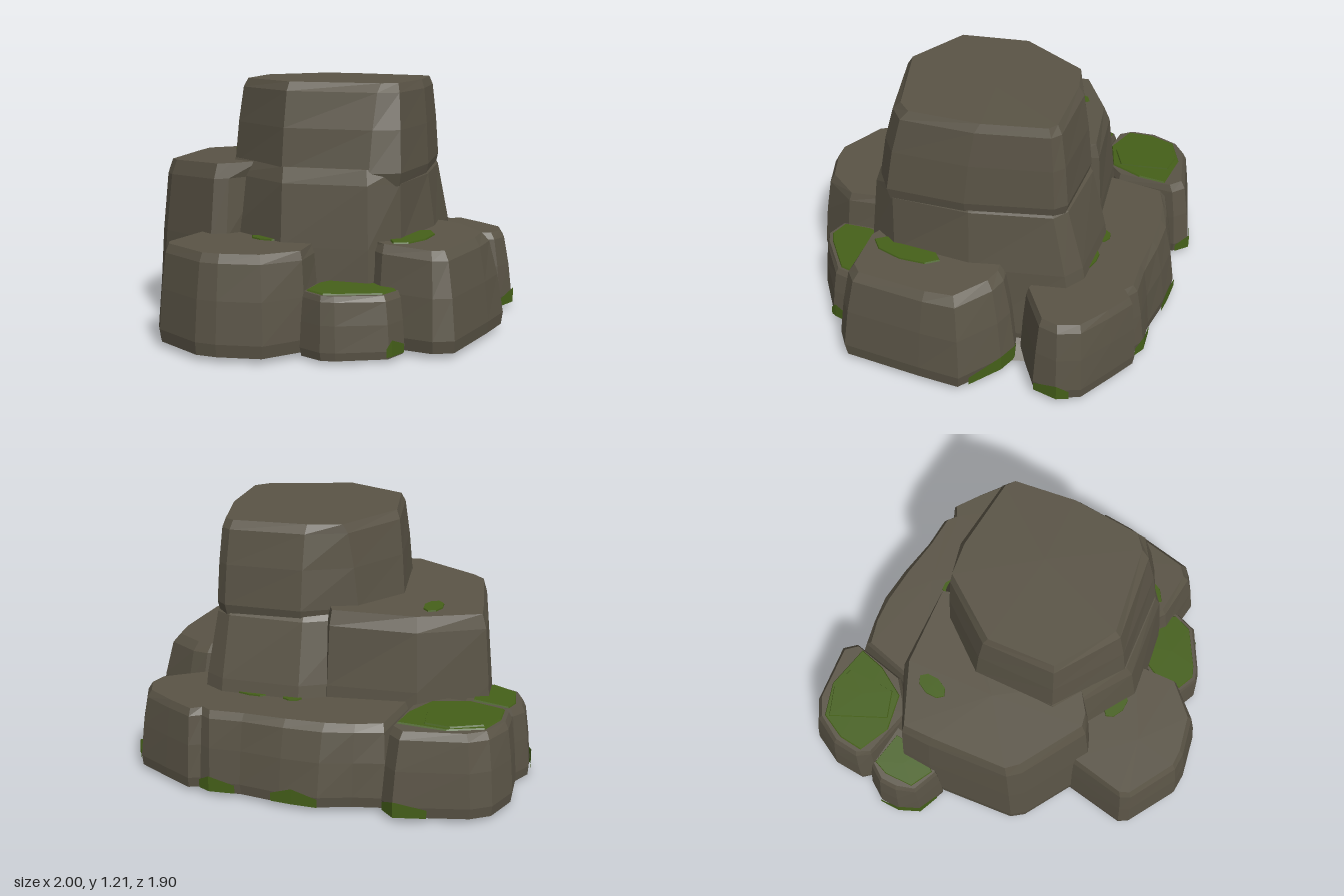
import * as THREE from 'three';

const stone = new THREE.MeshStandardMaterial({ color: 0x5a5446 });
stone.name = 'stone';
const moss = new THREE.MeshStandardMaterial({ color: 0x456019, side: THREE.DoubleSide });
moss.name = 'moss';

// Flat-faced geometry from a list of triangles
function facets(tris) {
  const g = new THREE.BufferGeometry();
  g.setAttribute('position', new THREE.Float32BufferAttribute(tris.flat(2), 3));
  g.computeVertexNormals();
  return g;
}

const area = (p) => p.reduce((s, a, i) => {
  const b = p[(i + 1) % p.length];
  return s + a[0] * b[1] - b[0] * a[1];
}, 0);

// Closed stack of loops between a foot outline and a top outline ([x, z] points);
// each level is [height fraction, blend towards foot, scale about the centre]
function loft(base, top, bottomY, topY, levels) {
  if (area(base) > 0) { base = [...base].reverse(); top = [...top].reverse(); }
  const n = base.length;
  const mean = (pts, k) => pts.reduce((s, p) => s + p[k], 0) / n;
  const cx = mean(base, 0), cz = mean(base, 1);
  const rings = levels.map(([t, mix, scale]) => base.map((b, i) => {
    const x = cx + (top[i][0] + (b[0] - top[i][0]) * mix - cx) * scale;
    const z = cz + (top[i][1] + (b[1] - top[i][1]) * mix - cz) * scale;
    const lo = bottomY(x, z);
    return [x, lo + t * (topY(x, z) - lo), z];
  }));
  const tris = [];
  const centre = (r) => [0, 1, 2].map((k) => mean(r, k));
  const first = rings[0], last = rings[rings.length - 1];
  for (let i = 0; i < n; i++) {
    const j = (i + 1) % n;
    for (let r = 0; r < rings.length - 1; r++) {
      const a = rings[r], b = rings[r + 1];
      tris.push([a[i], a[j], b[j]], [a[i], b[j], b[i]]);
    }
    tris.push([centre(last), last[i], last[j]], [centre(first), first[j], first[i]]);
  }
  return facets(tris);
}

const ROCK = [[0, 1, 0.97], [0.13, 1, 1], [0.55, 0.72, 1], [0.91, 0.34, 1], [1, 0, 1]];
const UNDERSIDE = [[0, 1, 0.7], [0.22, 1, 1], [1, 0, 1]];
const PLATE = [[0, 1, 1], [1, 1, 0.97]];

export function createModel() {
  const model = new THREE.Group();
  const add = (name, geometry, material) => {
    const m = new THREE.Mesh(geometry, material);
    m.name = name;
    model.add(m);
  };
  const rock = (name, y0, topY, base, top, levels = ROCK) =>
    add(name, loft(base, top, () => y0, topY, levels), stone);
  const mossTop = (name, topY, pts) =>
    add(name, loft(pts, pts, (x, z) => topY(x, z) - 0.002, (x, z) => topY(x, z) + 0.007, PLATE), moss);
  const blob = (x, z, rx, rz) => Array.from({ length: 8 }, (_, i) =>
    [x + rx * Math.cos(i * Math.PI / 4), z + rz * Math.sin(i * Math.PI / 4)]);

  // Tops of the rocks, as gently sloping planes
  const towerTop = (x, z) => 1.2 + 0.015 * z;
  const leftTop = (x) => 0.82 + 0.055 * x;
  const frontTop = () => 0.48;
  const cornerTop = (x) => 0.305 - 0.04 * (x - 0.5);
  const rightTop = (x) => 0.49 - 0.06 * (x - 0.67);
  const backTop = () => 0.4;
  const mossyTop = (x, z) => 0.405 - 0.03 * (z + 0.55);
  const smallTop = (x, z) => 0.365 + 0.08 * (x + 0.85) - 0.06 * (z + 0.1);

  // Underside joining the rocks, bulging slightly below them
  rock('baseStone', 0, () => 0.1,
    [[-0.72, -0.15], [-0.5, 0.36], [0.1, 0.78], [0.6, 0.42], [0.8, -0.1], [0.55, -0.7], [-0.3, -0.72], [-0.8, -0.5]],
    [[-0.65, -0.15], [-0.45, 0.3], [0.1, 0.7], [0.55, 0.4], [0.7, -0.1], [0.5, -0.6], [-0.3, -0.65], [-0.7, -0.45]],
    UNDERSIDE);

  // Central tower in two blocks: flush in front, the upper overhanging at back and right
  rock('towerUpper', 0.74, towerTop,
    [[-0.31, -0.08], [-0.2, 0.31], [0.17, 0.45], [0.56, 0.32], [0.67, 0.22], [0.61, -0.15], [0.46, -0.53], [0.4, -0.57], [0.03, -0.52], [-0.19, -0.36]],
    [[-0.25, -0.04], [-0.15, 0.27], [0.16, 0.37], [0.55, 0.2], [0.6, 0.13], [0.54, -0.2], [0.43, -0.48], [0.38, -0.5], [0.03, -0.44], [-0.12, -0.38]]);
  rock('towerLower', 0.02, () => 0.82,
    [[-0.34, -0.05], [-0.2, 0.42], [0.22, 0.54], [0.6, 0.38], [0.67, 0.2], [0.66, -0.2], [0.5, -0.66], [0.38, -0.71], [0, -0.65], [-0.26, -0.45]],
    [[-0.28, -0.07], [-0.2, 0.31], [0.18, 0.45], [0.55, 0.325], [0.65, 0.2], [0.57, -0.15], [0.44, -0.46], [0.38, -0.49], [0.03, -0.46], [-0.17, -0.33]]);

  // Ring of lower rocks
  rock('leftRock', 0.02, leftTop,
    [[-0.79, -0.17], [-0.76, -0.02], [-0.61, 0.4], [-0.55, 0.45], [-0.18, 0.56], [-0.12, 0.51], [-0.03, 0.2], [0, -0.4], [-0.1, -0.54], [-0.52, -0.44]],
    [[-0.73, -0.16], [-0.69, -0.02], [-0.57, 0.34], [-0.51, 0.38], [-0.18, 0.48], [-0.12, 0.45], [-0.03, 0.34], [-0.05, -0.38], [-0.11, -0.48], [-0.48, -0.36]]);
  rock('frontRock', 0.025, frontTop,
    [[-0.29, 0.5], [-0.26, 0.83], [-0.22, 0.87], [0.05, 0.95], [0.15, 0.93], [0.34, 0.84], [0.43, 0.64], [0.37, 0.38], [-0.2, 0.38]],
    [[-0.25, 0.5], [-0.23, 0.78], [-0.2, 0.82], [0.05, 0.89], [0.13, 0.87], [0.29, 0.79], [0.39, 0.62], [0.33, 0.42], [-0.2, 0.42]]);
  rock('frontCornerRock', 0.015, cornerTop,
    [[0.38, 0.5], [0.42, 0.67], [0.54, 0.69], [0.6, 0.66], [0.78, 0.5], [0.79, 0.38], [0.7, 0.25], [0.45, 0.25]],
    [[0.4, 0.5], [0.43, 0.65], [0.53, 0.67], [0.58, 0.64], [0.74, 0.48], [0.75, 0.37], [0.68, 0.27], [0.45, 0.27]]);
  rock('rightRock', 0.025, rightTop,
    [[0.5, -0.38], [0.64, -0.43], [0.74, -0.41], [0.95, -0.3], [0.97, -0.1], [0.995, 0.29], [0.92, 0.36], [0.66, 0.39], [0.5, 0.3]],
    [[0.5, -0.3], [0.62, -0.33], [0.7, -0.32], [0.86, -0.23], [0.89, -0.1], [0.91, 0.24], [0.87, 0.29], [0.65, 0.33], [0.5, 0.28]]);
  rock('backRock', 0.02, backTop,
    [[-0.5, -0.77], [-0.36, -0.82], [-0.22, -0.89], [-0.04, -0.91], [0.16, -0.91], [0.3, -0.94], [0.4, -0.9], [0.46, -0.6], [0.3, -0.4], [-0.5, -0.3]],
    [[-0.46, -0.7], [-0.35, -0.76], [-0.22, -0.8], [-0.04, -0.83], [0.16, -0.85], [0.32, -0.88], [0.38, -0.85], [0.42, -0.6], [0.3, -0.42], [-0.46, -0.34]]);
  rock('backCornerRock', 0.02, backTop,
    [[0.35, -0.91], [0.41, -0.945], [0.56, -0.89], [0.74, -0.82], [0.8, -0.72], [0.79, -0.6], [0.6, -0.44], [0.34, -0.45]],
    [[0.37, -0.86], [0.41, -0.9], [0.54, -0.85], [0.69, -0.78], [0.74, -0.69], [0.73, -0.61], [0.56, -0.46], [0.36, -0.47]]);
  rock('mossyRock', 0.02, mossyTop,
    [[-1, -0.48], [-0.96, -0.65], [-0.88, -0.72], [-0.56, -0.84], [-0.49, -0.79], [-0.47, -0.45], [-0.6, -0.28], [-0.9, -0.28], [-0.97, -0.33]],
    [[-0.95, -0.47], [-0.91, -0.61], [-0.84, -0.68], [-0.58, -0.77], [-0.52, -0.73], [-0.51, -0.46], [-0.62, -0.31], [-0.88, -0.3], [-0.93, -0.35]]);
  rock('smallLeftRock', 0.015, smallTop,
    [[-0.95, -0.27], [-0.985, -0.17], [-0.96, -0.07], [-0.89, 0.02], [-0.74, 0.04], [-0.66, -0.1], [-0.7, -0.3]],
    [[-0.91, -0.25], [-0.94, -0.17], [-0.92, -0.09], [-0.87, -0.01], [-0.74, 0.01], [-0.68, -0.1], [-0.7, -0.28]]);

  // Moss lying on the rock tops
  mossTop('mossyRockMoss', mossyTop,
    [[-0.93, -0.46], [-0.9, -0.6], [-0.75, -0.69], [-0.52, -0.7], [-0.52, -0.56], [-0.57, -0.39], [-0.74, -0.31], [-0.91, -0.34]]);
  mossTop('mossyRockMossUpper', (x, z) => mossyTop(x, z) + 0.007,
    [[-0.89, -0.58], [-0.76, -0.67], [-0.64, -0.67], [-0.6, -0.52], [-0.58, -0.43], [-0.7, -0.35]]);
  mossTop('smallRockMoss', smallTop,
    [[-0.9, -0.25], [-0.91, -0.17], [-0.87, -0.03], [-0.75, 0], [-0.7, -0.1], [-0.73, -0.26]]);
  mossTop('frontCornerMoss', cornerTop,
    [[0.41, 0.5], [0.435, 0.64], [0.53, 0.655], [0.58, 0.62], [0.73, 0.47], [0.74, 0.37], [0.66, 0.3], [0.46, 0.3]]);
  mossTop('rightRockMoss', rightTop, blob(0.68, 0.12, 0.07, 0.18));
  mossTop('frontRockMoss', frontTop, blob(0.1, 0.48, 0.08, 0.045));
  mossTop('leftRockMoss', leftTop, blob(-0.5, -0.19, 0.045, 0.08));
  mossTop('backRockMossA', backTop, blob(0.04, -0.6, 0.05, 0.04));
  mossTop('backRockMossB', backTop, blob(0.24, -0.63, 0.08, 0.025));

  // Moss creeping up the feet of the rocks: strips hugging the outline
  const feet = [
    [[-0.985, -0.17], [-0.96, -0.07], [-0.89, 0.02], [-0.78, 0.035]],
    [[-0.7, -0.79], [-0.56, -0.84], [-0.49, -0.79]],
    [[-0.22, -0.89], [-0.1, -0.905], [0, -0.91]],
    [[0.18, -0.915], [0.3, -0.94], [0.36, -0.92]],
    [[0.77, -0.77], [0.8, -0.72], [0.79, -0.6]],
    [[0.54, -0.395], [0.64, -0.43], [0.74, -0.41], [0.9, -0.326]],
    [[0.77, 0.51], [0.78, 0.48], [0.79, 0.39]],
  ];
  feet.forEach((path, f) => {
    const tris = [];
    const at = (i, y) => [path[i][0] * 1.008, y, path[i][1] * 1.008];
    const crest = (i) => (i === 0 || i === path.length - 1 ? 0.065 : 0.1);
    for (let i = 0; i < path.length - 1; i++) {
      const a = at(i, 0.025), b = at(i + 1, 0.025), c = at(i + 1, crest(i + 1)), d = at(i, crest(i));
      tris.push([a, c, b], [a, d, c]);
    }
    add('footMoss' + (f + 1), facets(tris), moss);
  });
  return model;
}
